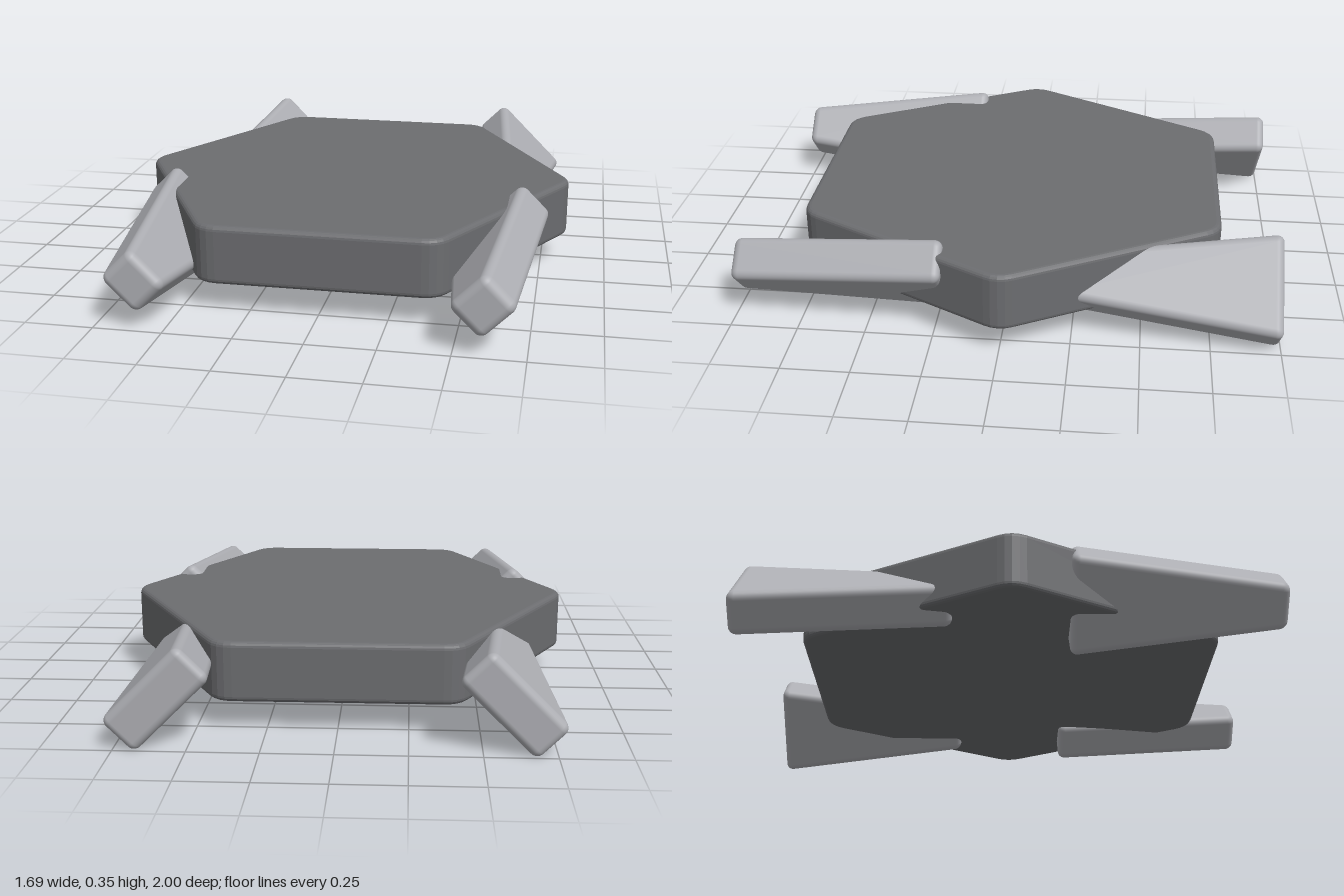
import * as THREE from 'three';
import { RoundedBoxGeometry } from 'three/addons/geometries/RoundedBoxGeometry.js';

const BEVEL = 0.02;

// Hexagonal slab with softened corners and bevelled rims
function createBody(material) {
  const corners = [[0.837, 0], [0.418, 0.765], [-0.418, 0.765], [-0.837, 0], [-0.418, -0.765], [0.418, -0.765]]
    .map(([x, y]) => new THREE.Vector2(x, y));
  const shape = new THREE.Shape();
  corners.forEach((corner, i) => {
    const toward = (other) => other.clone().sub(corner).setLength(0.05).add(corner);
    const start = toward(corners[(i + 5) % 6]);
    const end = toward(corners[(i + 1) % 6]);
    if (i === 0) shape.moveTo(start.x, start.y);
    else shape.lineTo(start.x, start.y);
    shape.quadraticCurveTo(corner.x, corner.y, end.x, end.y);
  });
  shape.closePath();

  const geometry = new THREE.ExtrudeGeometry(shape, {
    depth: 0.22 - 2 * BEVEL,
    bevelSize: BEVEL,
    bevelThickness: BEVEL,
    bevelSegments: 4,
    curveSegments: 4,
  });
  geometry.rotateX(-Math.PI / 2);
  geometry.translate(0, 0.11 + BEVEL, 0);
  const body = new THREE.Mesh(geometry, material);
  body.name = 'hexagonalBody';
  return body;
}

// Rounded bar whose height narrows evenly toward one end of z
function taperedBar(width, tall, short, length, wideEnd) {
  const geometry = new RoundedBoxGeometry(width, tall, length, 4, 0.03);
  const { position, normal } = geometry.attributes;
  const slope = (wideEnd * (tall - short)) / 2 / length;
  const n = new THREE.Vector3();
  for (let i = 0; i < position.count; i++) {
    const side = Math.sign(position.getY(i));
    const fromWide = length / 2 - wideEnd * position.getZ(i);
    position.setY(i, position.getY(i) - side * wideEnd * slope * fromWide);
    // keep the smooth normals square to the sloped faces
    n.fromBufferAttribute(normal, i);
    n.z -= side * slope * n.y;
    n.normalize();
    normal.setXYZ(i, n.x, n.y, n.z);
  }
  return geometry;
}

export function createModel() {
  const group = new THREE.Group();
  const darkGrey = new THREE.MeshStandardMaterial({ color: 0x6c6d70 });
  darkGrey.name = 'darkGrey';
  const lightGrey = new THREE.MeshStandardMaterial({ color: 0xadaeb3 });
  lightGrey.name = 'lightGrey';

  group.add(createBody(darkGrey));

  // Four fins: front pair lean outward, rear pair lean inward, all widest at the back
  const finGeometry = taperedBar(0.16, 0.385, 0.17, 0.786, -1);
  for (const end of [1, -1]) {
    for (const side of [1, -1]) {
      const fin = new THREE.Mesh(finGeometry, lightGrey);
      fin.name = (end > 0 ? 'front' : 'rear') + (side > 0 ? 'Left' : 'Right') + 'Fin';
      fin.position.set(side * 0.6, 0.185, end * 0.607);
      fin.rotation.z = (-end * side * Math.PI) / 4;
      group.add(fin);
    }
  }
  return group;
}
